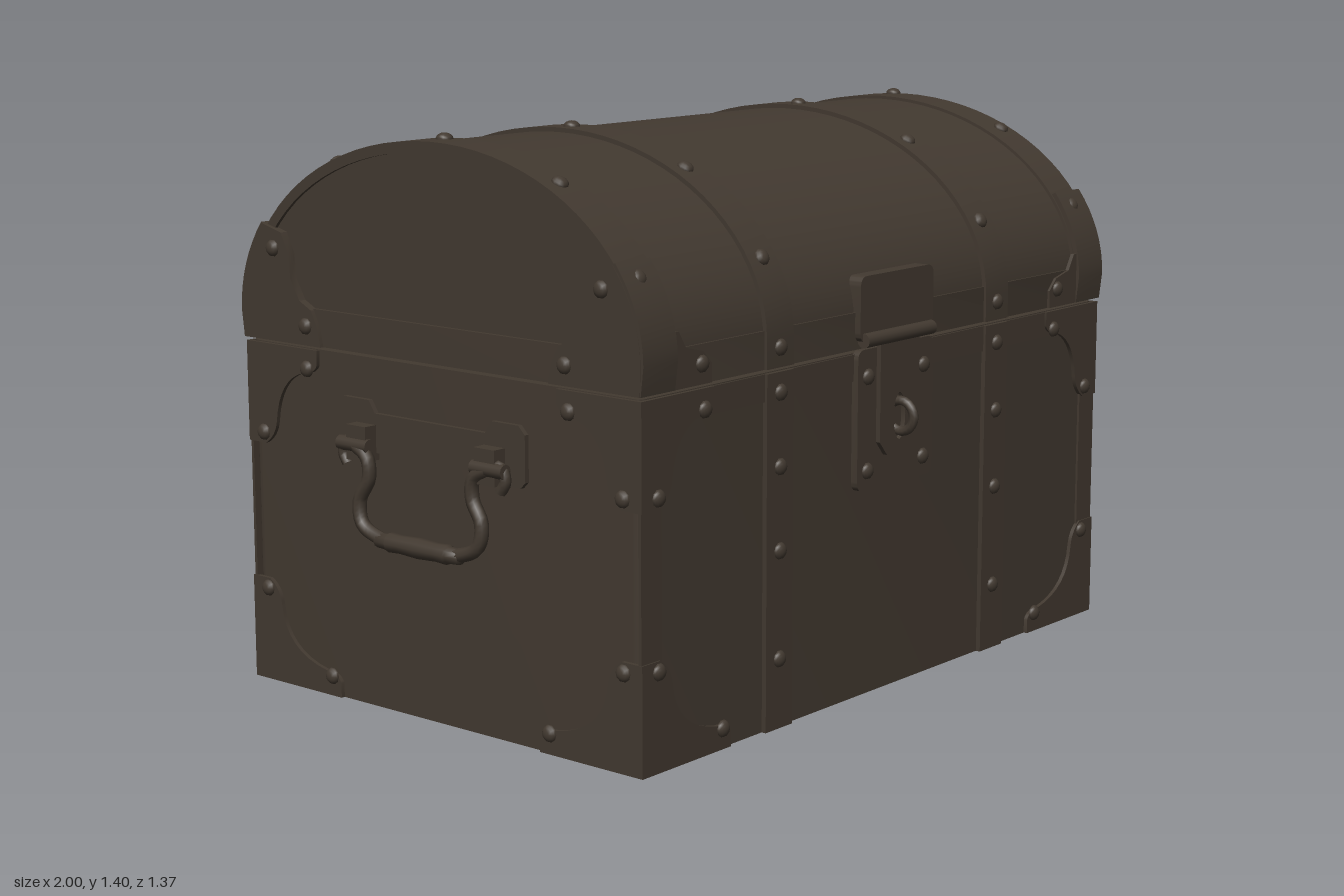
import * as THREE from 'three';
import { toCreasedNormals } from 'three/addons/utils/BufferGeometryUtils.js';

const brown = new THREE.MeshStandardMaterial({ color: 0x423930 });
brown.name = 'darkBrown';

const CZ = -0.02;                       // middle of the chest in z
const A = 0.63, B = 0.44, Y0 = 0.93;    // lid arch: half depth, rise, spring height
const LID = 0.863;                      // underside of the lid

function add(parent, name, geo, x = 0, y = 0, z = 0) {
  const m = new THREE.Mesh(geo, brown);
  m.name = name;
  m.position.set(x, y, z);
  parent.add(m);
  return m;
}
const poly = (pts) => new THREE.Shape(pts.map((p) => new THREE.Vector2(p[0], p[1])));
const extrude = (shape, depth) => toCreasedNormals(
  new THREE.ExtrudeGeometry(shape, { depth, bevelEnabled: false, curveSegments: 8 }), 0.5);

// Rectangle with rounded corners, centred
function roundRect(w, h, r) {
  const s = new THREE.Shape(), x = w / 2, y = h / 2;
  s.moveTo(-x + r, -y);
  s.lineTo(x - r, -y).quadraticCurveTo(x, -y, x, -y + r);
  s.lineTo(x, y - r).quadraticCurveTo(x, y, x - r, y);
  s.lineTo(-x + r, y).quadraticCurveTo(-x, y, -x, y - r);
  s.lineTo(-x, -y + r).quadraticCurveTo(-x, -y, -x + r, -y);
  return s;
}

// Points along the arch from angle t0 to t1, grown by g
function arch(g, t0, t1, n = 40) {
  return Array.from({ length: n + 1 }, (_, i) => {
    const t = t0 + (t1 - t0) * i / n;
    return [(A + g) * Math.cos(t), Y0 + (B + g) * Math.sin(t)];
  });
}
const archOutline = (g, base) => [[A + g, base], ...arch(g, 0, Math.PI), [-A - g, base]];

// Extrudes a (z, y) outline along x, centred on x
function acrossX(parent, name, shape, x, w) {
  const geo = extrude(shape, w).translate(0, 0, -w / 2).rotateY(-Math.PI / 2);
  return add(parent, name, geo, x, 0, CZ);
}

// Domed nail head, pointing along +z
const nail = new THREE.SphereGeometry(0.021, 10, 4, 0, Math.PI * 2, 0, Math.PI / 2)
  .rotateX(Math.PI / 2).scale(1, 1, 0.7);
const rivet = (parent, x, y, z) => add(parent, 'rivet', nail, x, y, z);

// Corner plate with a concave inner edge, growing toward (sx, sy)
function cornerPlate(sx, sy, w, h, arm = 0.06) {
  const s = new THREE.Shape();
  s.moveTo(0, 0);
  s.lineTo(sx * w, 0);
  s.lineTo(sx * w, sy * arm * 0.6);
  s.quadraticCurveTo(sx * (w - 0.01), sy * arm, sx * (w - 0.05), sy * arm);
  s.quadraticCurveTo(sx * arm * 1.9, sy * arm * 1.4, sx * arm * 1.7, sy * (h - 0.06));
  s.quadraticCurveTo(sx * arm * 1.6, sy * (h - 0.02), sx * arm, sy * h);
  s.lineTo(0, sy * h);
  return extrude(s, 0.01);
}

// One upright face of the chest: corner plates and their rivets, plus straps on front and back
function buildFace(parent, name, angle, half, dist, strapped) {
  const g = new THREE.Group();
  g.name = name;
  g.position.z = CZ;
  g.rotation.y = angle;
  parent.add(g);
  for (const s of [-1, 1]) {
    add(g, 'lowerCornerPlate', cornerPlate(-s, 1, 0.31, 0.26), s * half, 0, dist);
    add(g, 'upperCornerPlate', cornerPlate(-s, -1, 0.25, 0.25), s * half, 0.853, dist);
    const r = dist + 0.009;
    rivet(g, s * (half - 0.055), 0.235, r);
    rivet(g, s * (half - 0.28), 0.05, r);
    rivet(g, s * (half - 0.055), 0.63, r);
    rivet(g, s * (half - 0.215), 0.805, r);
    if (!strapped) continue;
    add(g, 'edgeStrip', new THREE.BoxGeometry(0.07, 0.4, 0.008), s * (half - 0.035), 0.43, dist + 0.002);
    add(g, 'bodyStrap', new THREE.BoxGeometry(0.1, 0.853, 0.02), s * 0.447, 0.4265, dist + 0.002);
    for (const y of [0.17, 0.43, 0.63, 0.805]) rivet(g, s * 0.447, y, dist + 0.011);
  }
  if (strapped) add(g, 'topRail', new THREE.BoxGeometry(1.83, 0.065, 0.008), 0, 0.82, dist + 0.001);
}

function buildLid(parent) {
  const lid = new THREE.Group();
  lid.name = 'lid';
  parent.add(lid);
  acrossX(lid, 'lidDome', poly(archOutline(0, LID)), 0, 1.84);
  add(lid, 'lidRim', extrude(roundRect(1.86, 2 * A + 0.008, 0.02), 0.09).rotateX(-Math.PI / 2), 0, LID, CZ);

  const lidRivet = (x, t, g) => {
    rivet(lid, x, Y0 + (B + g) * Math.sin(t), CZ + (A + g) * Math.cos(t)).rotation.x =
      -Math.atan2(Math.sin(t) / B, Math.cos(t) / A);
  };
  for (const s of [-1, 1]) {
    // Straps over the arch
    acrossX(lid, 'lidStrap', poly(archOutline(0.011, LID)), s * 0.447, 0.1);
    // Hoop around each end
    const hoop = poly(archOutline(0.008, LID));
    hoop.holes.push(new THREE.Path(archOutline(-0.018, LID + 0.01).map((p) => new THREE.Vector2(...p))));
    acrossX(lid, 'endHoop', hoop, s * 0.874, 0.11);
    for (const t of [0.42, 0.98, Math.PI / 2, Math.PI - 0.98, Math.PI - 0.42]) {
      lidRivet(s * 0.447, t, 0.01);
      lidRivet(s * 0.88, t, 0.011);
    }
    for (const f of [-1, 1]) {
      // Plate wrapping the arch near each corner
      const outer = arch(0.02, 0, 0.5, 8), inner = arch(0, 0, 0.5, 8).reverse();
      const wrap = [[A + 0.012, LID], ...outer, ...inner, [A - 0.01, LID]].map(([z, y]) => [f * z, y]);
      acrossX(lid, 'lidCornerWrap', poly(wrap), s * 0.881, 0.116);
      // Foot of that plate along the rim
      const foot = extrude(poly([[0, 0], [-s * 0.24, 0], [-s * 0.24, 0.045], [-s * 0.21, 0.075],
        [-s * 0.15, 0.09], [-s * 0.125, 0.13], [0, 0.13]]), 0.01);
      add(lid, 'lidCornerFoot', foot, s * 0.935, LID, CZ + f * (A + 0.006) - 0.005);
      rivet(lid, s * 0.73, 0.91, CZ + f * (A + 0.01)).rotation.y = f < 0 ? Math.PI : 0;
      rivet(lid, s * 0.447, 0.91, CZ + f * (A + 0.01)).rotation.y = f < 0 ? Math.PI : 0;
      // Plate on the end of the lid
      const side = [[A + 0.01, LID], ...arch(0.012, 0, 0.5, 8), [0.5, 1.13], [0.475, 1.08],
        [0.47, 1.02], [0.44, 0.97], [0.4, 0.95], [0.38, 0.91], [0.37, LID]];
      acrossX(lid, 'lidSidePlate', poly(side.map(([z, y]) => [f * z, y])), s * 0.93, 0.02);
      for (const [z, y] of [[0.53, 1.09], [0.42, 0.91]])
        rivet(lid, s * 0.939, y, CZ + f * z).rotation.y = s * Math.PI / 2;
    }
  }
}

// Carrying handle, built facing +z and turned to the side
function buildHandle(parent, side) {
  const g = new THREE.Group();
  g.name = 'handle';
  g.position.set(side * 0.925, 0, -0.03);
  g.rotation.y = side * Math.PI / 2;
  parent.add(g);
  const half = [[0.18, 0.725], [0.2, 0.755], [0.285, 0.755], [0.305, 0.735], [0.305, 0.625], [0.29, 0.61], [0.2, 0.61], [0.18, 0.63]];
  const plate = poly([...half, ...half.map(([x, y]) => [-x, y]).reverse()]);
  add(g, 'handlePlate', extrude(plate, 0.012));
  for (const s of [-1, 1]) {
    add(g, 'handleSocket', new THREE.BoxGeometry(0.065, 0.085, 0.045), s * 0.21, 0.655, 0.025);
    add(g, 'handlePin', new THREE.CylinderGeometry(0.018, 0.018, 0.1, 10).rotateZ(Math.PI / 2), s * 0.22, 0.65, 0.04);
    const curl = new THREE.CatmullRomCurve3([[0.21, 0.66], [0.255, 0.655], [0.265, 0.625], [0.25, 0.6]]
      .map(([x, y]) => new THREE.Vector3(s * x, y, 0.035)));
    add(g, 'handleCurl', new THREE.TubeGeometry(curl, 10, 0.014, 8));
  }
  const bend = [[0.22, 0.65, 0.04], [0.175, 0.625, 0.045], [0.17, 0.575, 0.045], [0.2, 0.52, 0.047],
    [0.19, 0.465, 0.05], [0.13, 0.437, 0.05]];
  const path = [...bend, [0, 0.43, 0.05], ...bend.map(([x, y, z]) => [-x, y, z]).reverse()];
  const bail = new THREE.CatmullRomCurve3(path.map((p) => new THREE.Vector3(...p)));
  add(g, 'handleBail', new THREE.TubeGeometry(bail, 60, 0.017, 8));
  const grip = [[0.001, -0.14], [0.018, -0.135], [0.02, -0.1], [0.024, -0.095], [0.022, -0.06], [0.025, 0],
    [0.022, 0.06], [0.024, 0.095], [0.02, 0.1], [0.018, 0.135], [0.001, 0.14]];
  add(g, 'handleGrip', new THREE.LatheGeometry(grip.map((p) => new THREE.Vector2(...p)), 10).rotateZ(Math.PI / 2), 0, 0.433, 0.05);
}

function buildLatch(parent) {
  const g = new THREE.Group();
  g.name = 'latch';
  g.position.z = CZ + A;
  parent.add(g);
  add(g, 'lockPlate', extrude(roundRect(0.31, 0.345, 0.025), 0.018), 0, 0.69, 0);
  add(g, 'lidLatchPlate', extrude(roundRect(0.3, 0.16, 0.025), 0.06), 0, 0.96, -0.04);
  add(g, 'hingePin', new THREE.CylinderGeometry(0.018, 0.018, 0.28, 12).rotateZ(Math.PI / 2), 0, 0.885, 0.022);
  const hasp = poly([[-0.08, 0.9], [-0.08, 0.63], [-0.05, 0.595], [0.05, 0.595], [0.08, 0.63], [0.08, 0.9]]);
  hasp.holes.push(new THREE.Path().absellipse(0, 0.685, 0.024, 0.058, 0, Math.PI * 2));
  add(g, 'hasp', extrude(hasp, 0.012), 0, 0, 0.018);
  add(g, 'lockRing', new THREE.TorusGeometry(0.038, 0.012, 8, 20).rotateY(Math.PI / 2), 0, 0.685, 0.034);
  for (const x of [-0.115, 0.115]) for (const y of [0.565, 0.795]) rivet(g, x, y, 0.017);
}

export function createModel() {
  const chest = new THREE.Group();
  chest.name = 'chest';
  add(chest, 'body', extrude(roundRect(1.85, 2 * A, 0.025), 0.855).rotateX(-Math.PI / 2), 0, 0, CZ);
  buildFace(chest, 'frontFace', 0, 0.933, A, true);
  buildFace(chest, 'backFace', Math.PI, 0.933, A, true);
  buildFace(chest, 'leftFace', Math.PI / 2, A + 0.01, 0.925, false);
  buildFace(chest, 'rightFace', -Math.PI / 2, A + 0.01, 0.925, false);
  buildLid(chest);
  buildHandle(chest, 1);
  buildHandle(chest, -1);
  buildLatch(chest);
  return chest;
}
